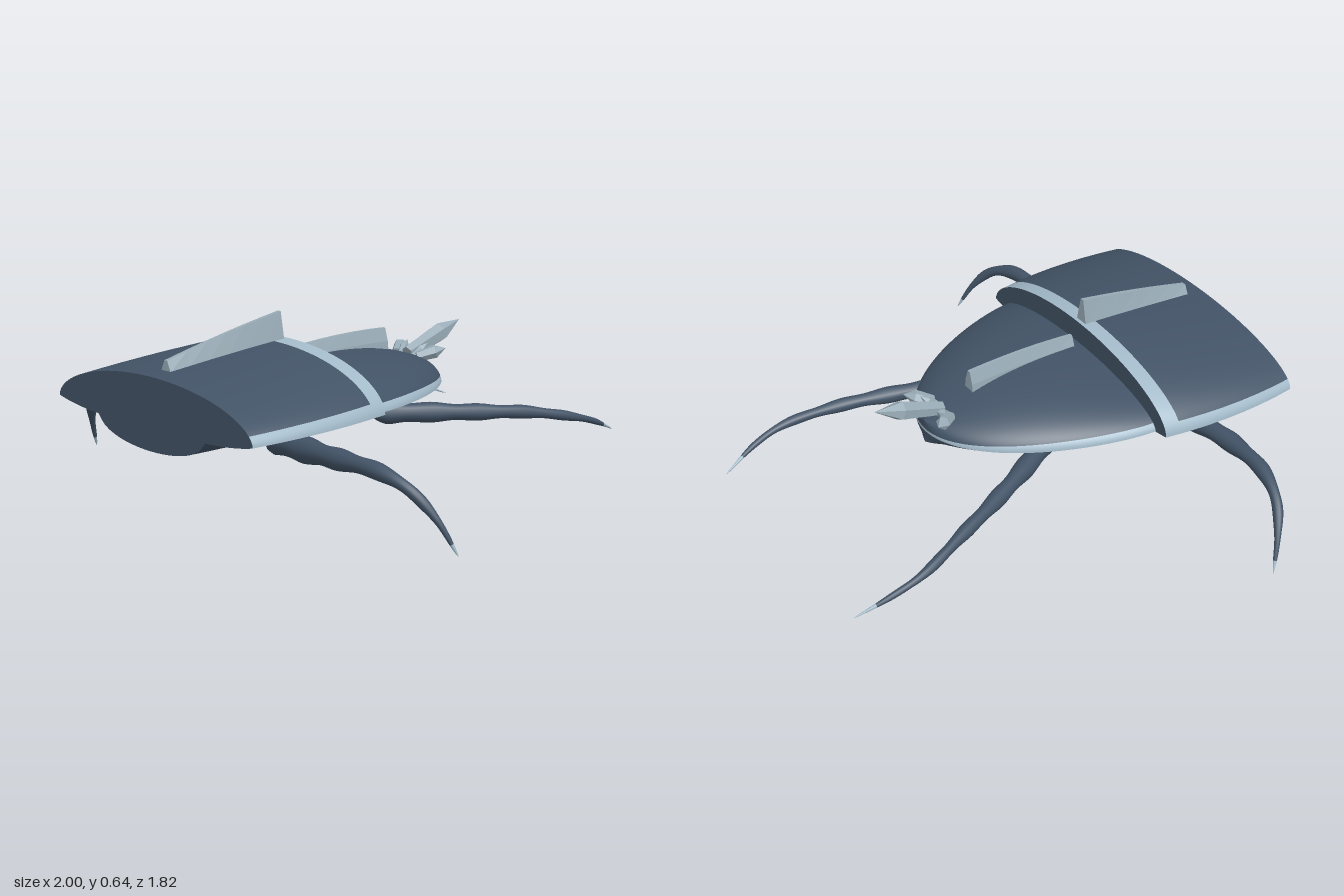
import * as THREE from 'three';

const shell = new THREE.MeshStandardMaterial({ color: 0x425366 });
shell.name = 'slate shell';
const pale = new THREE.MeshStandardMaterial({ color: 0xa3bac9 });
pale.name = 'pale trim';
const crystal = new THREE.MeshStandardMaterial({ color: 0x98abb6 });
crystal.name = 'crystal';

function addMesh(parent, name, geometry, material) {
  const m = new THREE.Mesh(geometry, material);
  m.name = name;
  parent.add(m);
  return m;
}

// Surface from a grid of points; isTrim picks the cells of the second material
function grid(rows, cols, point, isTrim) {
  const pos = [], plain = [], trim = [];
  for (let i = 0; i <= rows; i++) for (let j = 0; j <= cols; j++) pos.push(...point(i, j));
  for (let i = 0; i < rows; i++) for (let j = 0; j < cols; j++) {
    const a = i * (cols + 1) + j, b = a + cols + 1;
    (isTrim(i, j) ? trim : plain).push(a, b, a + 1, b, b + 1, a + 1);
  }
  const g = new THREE.BufferGeometry();
  g.setAttribute('position', new THREE.Float32BufferAttribute(pos, 3));
  g.setIndex([...plain, ...trim]);
  g.addGroup(0, plain.length, 0);
  g.addGroup(plain.length, trim.length, 1);
  g.computeVertexNormals();
  return g;
}

// Cross-section of a plate: domed top and an underside with a keel
const N = 48, BAND = 4;
const domePoint = (s, j) => {
  const a = Math.PI * j / N;
  return [s.w * Math.cos(a), s.rim + (s.top - s.rim) * Math.pow(Math.max(0, Math.sin(a)), 1.08), s.z];
};
const underPoint = (s, j) => {
  const u = -Math.cos(Math.PI * j / N);
  const keel = Math.sqrt(Math.max(0, 1 - (u / 0.54) ** 2));
  return [s.w * u, s.rim - 0.03 * (1 - u ** 4) - s.depth * keel, s.z];
};

function plate(parent, name, sections, trimRow) {
  const rows = sections.length - 1;
  addMesh(parent, name + 'Dome', grid(rows, N, (i, j) => domePoint(sections[i], j),
    (i, j) => i === trimRow || j < BAND || j >= N - BAND), [shell, pale]);
  addMesh(parent, name + 'Underside', grid(rows, N, (i, j) => underPoint(sections[i], j),
    () => false), [shell, pale]);
}

function endCap(parent, name, s, backward) {
  const pts = [];
  for (let j = 0; j < N; j++) pts.push(new THREE.Vector2(...domePoint(s, j)));
  for (let j = 0; j < N; j++) pts.push(new THREE.Vector2(...underPoint(s, j)));
  const g = new THREE.ShapeGeometry(new THREE.Shape(pts));
  if (backward) g.rotateY(Math.PI);
  addMesh(parent, name, g.translate(0, 0, s.z), shell);
}

// Tapering, slightly lumpy leg with a pale claw tip
function leg(parent, name, points, side, radius, tipShare, lumps) {
  const curve = new THREE.CatmullRomCurve3(points.map(p => new THREE.Vector3(p[0] * side, p[1], p[2])));
  const segs = 60, sides = 14;
  const g = new THREE.TubeGeometry(curve, segs, 1, sides);
  const pos = g.attributes.position, nor = g.attributes.normal;
  for (let i = 0; i <= segs; i++) {
    const t = i / segs, c = curve.getPointAt(t);
    const taper = Math.pow(1 - t, 0.65) * (1 - 0.1 * t) + 0.002;
    const r = radius * taper * Math.min(1, Math.sqrt(t / 0.06)) * (1 + 0.09 * Math.sin(t * lumps));
    for (let j = 0; j <= sides; j++) {
      const k = i * (sides + 1) + j;
      pos.setXYZ(k, c.x + nor.getX(k) * r, c.y + nor.getY(k) * r, c.z + nor.getZ(k) * r);
    }
  }
  const split = Math.round(segs * (1 - tipShare)) * sides * 6;
  g.clearGroups();
  g.addGroup(0, split, 0);
  g.addGroup(split, g.index.count - split, 1);
  addMesh(parent, name, g, [shell, pale]);
}

// Upright ridge with a narrow crest, running from z0 back to z1
function fin(parent, name, z0, z1, halfWidth, baseY, topY) {
  const g = new THREE.BoxGeometry(2, 1, 1, 1, 2, 6);
  const p = g.attributes.position;
  for (let i = 0; i < p.count; i++) {
    const t = 0.5 - p.getZ(i), h = p.getY(i) + 0.5;
    const width = halfWidth * (1 - 0.75 * h * h);
    p.setXYZ(i, p.getX(i) * width, baseY + (topY(t) - baseY) * h, z0 + (z1 - z0) * t);
  }
  const flat = g.toNonIndexed();
  flat.computeVertexNormals();
  addMesh(parent, name, flat, crystal);
}

// Faceted crystal pointing from one point to another
function spike(parent, name, from, to, radius) {
  const a = new THREE.Vector3(...from), d = new THREE.Vector3(...to).sub(a), len = d.length();
  const profile = [[0, 0], [radius * 0.75, 0], [radius, len * 0.62], [0, len]];
  const g = new THREE.LatheGeometry(profile.map(q => new THREE.Vector2(...q)), 6).toNonIndexed();
  g.computeVertexNormals();
  const m = addMesh(parent, name, g, crystal);
  m.position.copy(a);
  m.quaternion.setFromUnitVectors(new THREE.Vector3(0, 1, 0), d.normalize());
}

export function createModel() {
  const model = new THREE.Group();
  model.name = 'armouredCrawler';

  // Front plate, cut flat at both ends, with a pale band along its rear edge
  const front = [0.91, 0.83, 0.75, 0.67, 0.59, 0.51, 0.45, 0.4, 0.34].map(z => {
    const t = (z - 0.34) / 0.57;
    return {
      z, w: 0.56 - 0.28 * (z - 0.68) ** 2, rim: 0.355 - 0.02 * t,
      top: 0.547 - 0.066 * Math.pow(t, 1.15), depth: 0.085 - 0.008 * t,
    };
  });
  plate(model, 'frontPlate', front, front.length - 2);
  endCap(model, 'frontFace', front[0], false);
  endCap(model, 'rearStep', front[front.length - 1], true);

  // Rear plate, narrowing to a rounded tail
  const rear = [];
  for (let i = 0; i <= 28; i++) {
    const s = Math.sin(i / 28 * Math.PI / 2);
    rear.push({
      z: 0.345 - 0.675 * s, w: 0.47 * Math.sqrt(Math.max(0, 1 - s ** 1.4)), rim: 0.345,
      top: 0.46 + 0.06 * s - 0.13 * s ** 2.6, depth: 0.075 - 0.055 * s,
    });
  }
  plate(model, 'rearPlate', rear, -1);

  // Back ridges
  fin(model, 'frontFin', 0.84, 0.355, 0.032, 0.45, t => 0.525 + 0.115 * t + 0.02 * t * (1 - t));
  fin(model, 'rearFin', 0.31, -0.14, 0.026, 0.43, t => 0.503 + 0.06 * t - 0.037 * t * t);

  // Tail crystals
  spike(model, 'tailCrystal', [0, 0.415, -0.26], [0, 0.515, -0.53], 0.036);
  for (const side of [1, -1]) {
    const label = side > 0 ? 'left' : 'right';
    spike(model, label + 'TailCrystal', [0.055 * side, 0.41, -0.255], [0.115 * side, 0.44, -0.345], 0.026);
    spike(model, label + 'SmallCrystal', [0.03 * side, 0.4, -0.25], [0.055 * side, 0.455, -0.31], 0.018);

    // Legs
    leg(model, label + 'FrontLeg', [[0.2, 0.262, 0.57], [0.4, 0.253, 0.58], [0.6, 0.257, 0.597],
      [0.77, 0.25, 0.59], [0.88, 0.205, 0.56], [0.95, 0.12, 0.515], [1, 0, 0.465]], side, 0.05, 0.05, 34);
    leg(model, label + 'HindLeg', [[0.19, 0.27, 0.1], [0.28, 0.262, -0.08], [0.365, 0.248, -0.28],
      [0.43, 0.232, -0.46], [0.485, 0.195, -0.65], [0.482, 0.16, -0.77], [0.45, 0.105, -0.91]],
      side, 0.041, 0.09, 38);
  }
  return model;
}
